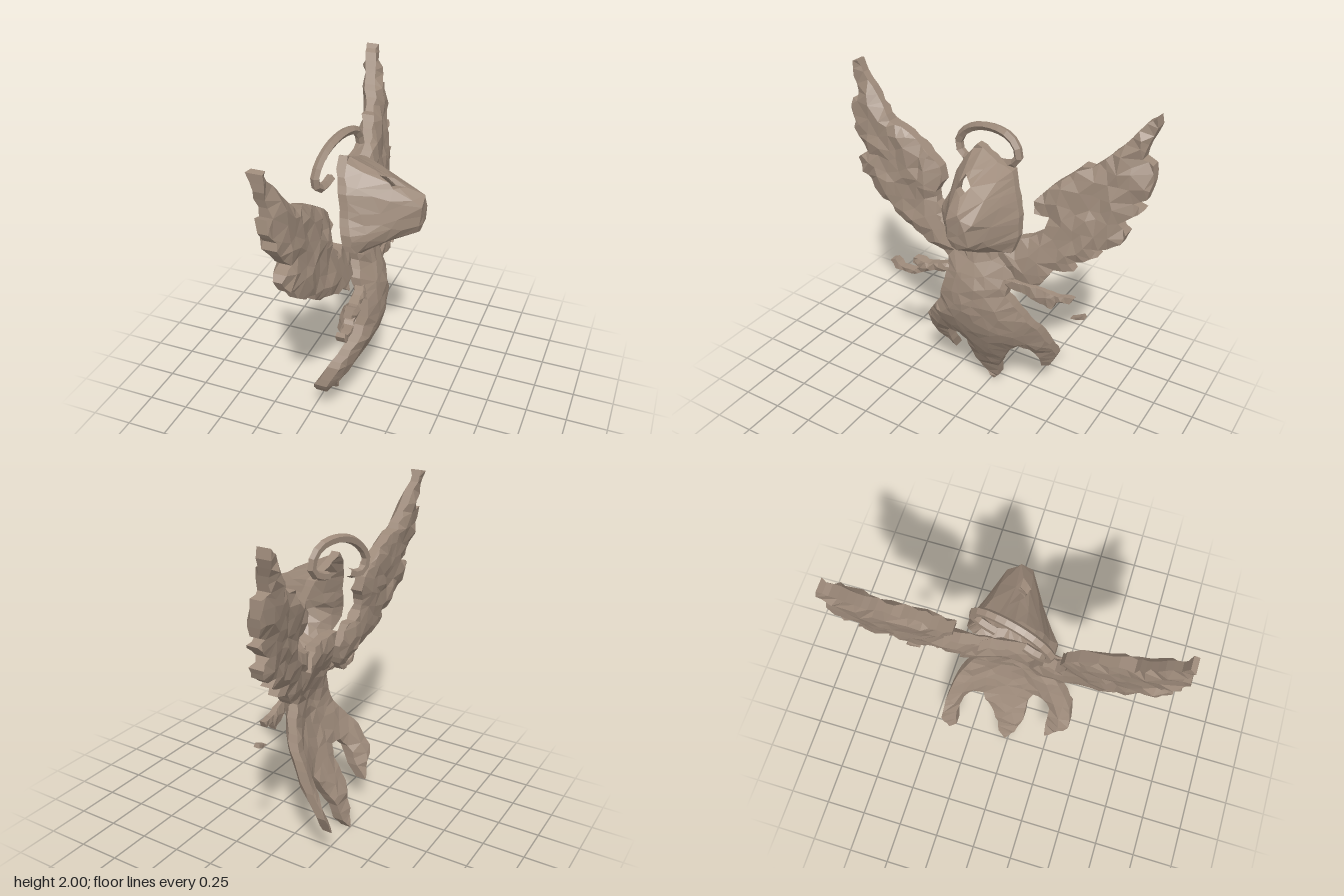
import * as THREE from 'three';

const clay = new THREE.MeshStandardMaterial({ color: 0x9d8a7a, flatShading: true });
clay.name = 'taupe clay';

// Seeded random numbers for the rough, hand-hewn surface
let seed = 7;
const rand = () => (seed = (seed * 16807) % 2147483647) / 2147483647;
const jitter = (a) => (rand() - 0.5) * 2 * a;

// Flat list of hundredths -> [u, y] points, where u = -z (the figure faces +x)
const pts = (a) => Array.from({ length: a.length / 2 }, (_, i) => [a[2 * i] / 100, a[2 * i + 1] / 100]);

function inside(loops, x, y) {
  let hit = false;
  for (const l of loops) l.forEach((a, i) => {
    const b = l[(i + 1) % l.length];
    if ((a[1] > y) !== (b[1] > y) && x < ((b[0] - a[0]) * (y - a[1])) / (b[1] - a[1]) + a[0]) hit = !hit;
  });
  return hit;
}

function edgeDistance(loops, x, y) {
  let best = 9;
  for (const l of loops) l.forEach((a, i) => {
    const b = l[(i + 1) % l.length], dx = b[0] - a[0], dy = b[1] - a[1];
    const t = Math.min(1, Math.max(0, ((x - a[0]) * dx + (y - a[1]) * dy) / (dx * dx + dy * dy)));
    best = Math.min(best, Math.hypot(x - a[0] - t * dx, y - a[1] - t * dy));
  });
  return best;
}

// Delaunay triangles, counter-clockwise
function triangulate(points) {
  const n = points.length, p = [...points, [-20, -20], [20, -20], [0, 30]];
  const make = (a, b, c) => {
    const [ax, ay] = p[a], bx = p[b][0] - ax, by = p[b][1] - ay, cx = p[c][0] - ax, cy = p[c][1] - ay;
    const d = 2 * (bx * cy - by * cx) || 1e-12, b2 = bx * bx + by * by, c2 = cx * cx + cy * cy;
    const x = (cy * b2 - by * c2) / d, y = (bx * c2 - cx * b2) / d;
    return { v: d > 0 ? [a, b, c] : [a, c, b], x: x + ax, y: y + ay, r: x * x + y * y };
  };
  let tris = [make(n, n + 1, n + 2)];
  for (let i = 0; i < n; i++) {
    const edges = new Map();
    tris = tris.filter((t) => {
      if ((p[i][0] - t.x) ** 2 + (p[i][1] - t.y) ** 2 >= t.r) return true;
      t.v.forEach((a, k) => {
        const b = t.v[(k + 1) % 3];
        if (!edges.delete(b + '_' + a)) edges.set(a + '_' + b, [a, b]);
      });
      return false;
    });
    for (const [a, b] of edges.values()) tris.push(make(a, b, i));
  }
  return tris.map((t) => t.v).filter((v) => v.every((k) => k < n));
}

// Faceted slab: outline loops filled with a rough mesh; surface(u, y, d) gives [front x, back x]
function relief(name, loops, step, rough, surface) {
  const points = [];
  for (const l of loops) l.forEach((a, i) => {
    const b = l[(i + 1) % l.length];
    const n = Math.ceil(Math.hypot(b[0] - a[0], b[1] - a[1]) / (step * 0.8));
    for (let k = 0; k < n; k++) {
      points.push([a[0] + ((b[0] - a[0]) * k) / n + jitter(0.002), a[1] + ((b[1] - a[1]) * k) / n + jitter(0.002)]);
    }
  });
  for (let u = -1; u < 1; u += step) for (let y = 0; y < 2; y += step) {
    const x = u + jitter(step * 0.35), v = y + jitter(step * 0.35);
    if (inside(loops, x, v) && edgeDistance(loops, x, v) > step * 0.35) points.push([x, v]);
  }
  const tris = triangulate(points).filter((t) => {
    const c = [0, 1].map((k) => (points[t[0]][k] + points[t[1]][k] + points[t[2]][k]) / 3);
    return inside(loops, c[0], c[1]);
  });
  const sides = points.map(([u, y]) => {
    const d = edgeDistance(loops, u, y);
    const [f, b] = surface(u, y, d);
    return [[f + jitter(rough), y, -u], [b + jitter(rough), y, -u]];
  });
  const pos = [], used = new Set();
  const face = (...c) => c.forEach(([i, s]) => pos.push(...sides[i][s]));
  for (const [a, b, c] of tris) {
    face([a, 0], [b, 0], [c, 0]);
    face([a, 1], [c, 1], [b, 1]);
    [[a, b], [b, c], [c, a]].forEach((e) => used.add(e.join('_')));
  }
  // Walls along the open rim
  for (const e of used) {
    const [a, b] = e.split('_').map(Number);
    if (used.has(b + '_' + a)) continue;
    face([a, 0], [a, 1], [b, 1]);
    face([a, 0], [b, 1], [b, 0]);
  }
  const g = new THREE.BufferGeometry();
  g.setAttribute('position', new THREE.Float32BufferAttribute(pos, 3));
  g.computeVertexNormals();
  const m = new THREE.Mesh(g, clay);
  m.name = name;
  return m;
}

// Slab of even thickness about a middle surface, rounded toward its rim
const slab = (mid, half) => (u, y, d) => {
  const h = half * (0.5 + 0.5 * Math.min(1, Math.sqrt(d / 0.045)));
  return [mid(u, y) + h, mid(u, y) - h];
};

// Front line of the robe, from the hem to the neck
const robeLine = [[0, -0.16], [0.2, -0.085], [0.36, 0], [0.47, 0.06], [0.65, 0.125], [0.8, 0.14], [0.9, 0.125], [1, 0.09], [1.08, 0.045], [1.3, 0.01]];
function robeMid(u, y) {
  const i = Math.max(1, robeLine.findIndex((p) => p[0] >= y));
  const [a, b] = [robeLine[i - 1], robeLine[i]];
  const front = a[1] + ((b[1] - a[1]) * (y - a[0])) / (b[0] - a[0]);
  return front - 0.056 - (u > 0 ? 1.15 : 0.45) * u * u;
}

export function createModel() {
  const model = new THREE.Group();
  model.name = 'wingedFigure';

  // Robe with three ragged tails
  const robe = pts([-10, 110, -12, 120, 20, 120, 30, 112, 26, 98, 23, 93, 22, 86, 29, 76, 37, 60, 41, 44, 42, 31, 37, 20,
    33, 20, 34, 31, 31, 41, 26, 45, 20, 41, 14, 29, 8, 17, 7, 7, 2, 0.5, -4, 10, -8, 25, -8, 39, -11, 46, -18, 46, -23, 40,
    -23, 28, -24, 19, -32, 27, -38, 36, -36, 50, -29, 60, -20, 73, -16, 89, -16, 102]);
  model.add(relief('robe', [robe], 0.07, 0.008, slab(robeMid, 0.056)));

  // Wings with notched feather edges, leaning back toward the tips
  const leftFeathers = pts([-90, 199, -87, 200, -84, 193, -77, 186, -71, 178, -64, 169, -56, 167, -46, 162, -36, 155, -29, 149,
    -27, 141, -31, 134, -30, 128, -24, 123, -17, 123, -9, 112, -12, 100, -18, 94, -24, 99, -34, 102, -43, 107, -52, 109,
    -59, 114, -60, 118, -68, 120, -75, 125, -77, 130, -83, 134, -87, 141, -84, 144, -78, 146, -83, 151, -89, 160, -88, 164,
    -92, 170, -91, 177, -87, 176, -87, 181, -90, 190]);
  const rightFeathers = pts([89, 199, 90, 194, 87, 185, 85, 177, 91, 175, 92, 166, 90, 156, 84, 153, 90, 151, 85, 146, 78, 141,
    83, 136, 81, 130, 74, 125, 66, 124, 70, 120, 63, 116, 55, 113, 58, 109, 47, 107, 43, 101, 40, 96, 26, 97, 12, 104,
    14, 118, 31, 123, 39, 128, 41, 137, 33, 138, 32, 145, 39, 153, 49, 162, 55, 168, 60, 168, 67, 174, 75, 183, 84, 195]);
  model.add(relief('wingPlusZ', [leftFeathers], 0.07, 0.012, slab((u, y) => -0.06 - 0.115 * (y - 1.1), 0.056)));
  model.add(relief('wingMinusZ', [rightFeathers], 0.07, 0.012,
    slab((u, y) => -0.035 - 0.16 * (y - 1.1) - 0.16 * (u - 0.2), 0.06)));

  // Hollow head drawn out into a blunt muzzle, with an eye opening
  const skull = pts([-22, 122, -22, 132, -18, 140, -15, 153, -11, 161, -4, 170, 10, 163, 19, 160, 23, 150, 27, 137, 28, 126,
    25, 116, 10, 113, -3, 115, -13, 117]);
  const eye = pts([-2, 154, -0.5, 160, 6, 156.5, 4, 153.5]);
  model.add(relief('head', [skull, eye], 0.06, 0.007, (u, y, d) => {
    const base = 0.04 - 0.22 * (y - 1.17);
    const rim = edgeDistance([skull], u, y);
    const rise = rim / (rim + Math.max(0, Math.hypot(u - 0.08, (y - 1.375) * 0.72) - 0.07));
    const front = base + (0.33 - base) * Math.min(1, rise * 1.06);
    return [front, front - 0.05 - 0.08 * Math.min(1, d / 0.09)];
  }));

  // Halo, tilted back on the +z side, its ends meeting the head
  const ring = pts([-8, 158, -15, 155.5, -20.5, 157, -22.5, 163, -18, 170.5, -9, 176.5, 4, 179, 14.5, 177, 19.5, 172, 20.5, 166, 16, 162, 8, 160]);
  const path = new THREE.CatmullRomCurve3(ring.map(([u, y]) => new THREE.Vector3(-0.135 + 0.2 * u, y, -u)));
  const halo = new THREE.Mesh(new THREE.TubeGeometry(path, 18, 0.026, 5), clay);
  halo.name = 'halo';
  model.add(halo);

  // Thin arms and a loose fragment
  const hookArm = pts([-13, 98, -28, 93, -38, 95, -39, 91, -34, 89, -38, 86, -47, 86, -51, 90, -54, 89, -51, 84, -38, 83, -31, 87,
    -24, 90, -13, 92]);
  const reachArm = pts([18, 97, 43, 95, 50, 93, 61, 94, 59, 90, 51, 89, 49, 84, 42, 86, 31, 90, 18, 92]);
  const fragment = pts([60, 80.5, 67, 84, 68, 82, 63, 80]);
  const armMinus = slab((u) => 0.05 - 0.15 * u, 0.03);
  model.add(relief('armPlusZ', [hookArm], 0.04, 0.006, slab((u) => 0.03 - 0.09 * u, 0.045)));
  model.add(relief('armMinusZ', [reachArm], 0.045, 0.006, armMinus));
  model.add(relief('looseFragment', [fragment], 0.04, 0.004, armMinus));
  return model;
}
